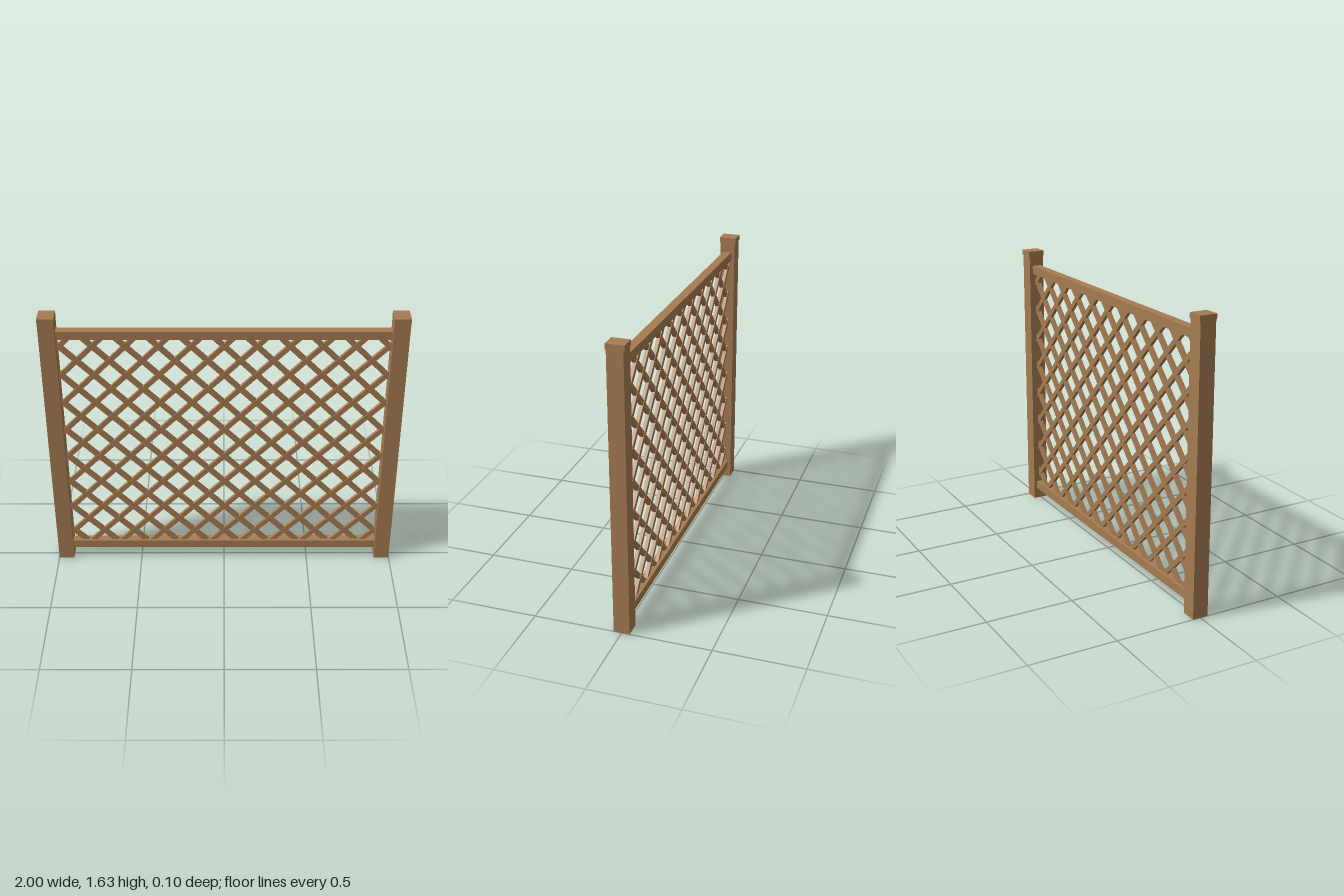
import * as THREE from 'three';

export function createModel() {
  const model = new THREE.Group();
  model.name = 'trellisPanel';
  const wood = new THREE.MeshStandardMaterial({ color: 0xa67c52 });
  wood.name = 'brown wood';

  function addBox(parent, name, size, position) {
    const mesh = new THREE.Mesh(new THREE.BoxGeometry(...size), wood);
    mesh.name = name;
    mesh.position.set(...position);
    parent.add(mesh);
    return mesh;
  }

  // Posts with flat caps
  for (const [side, s] of [['left', 1], ['right', -1]]) {
    addBox(model, side + 'Post', [0.09, 1.6, 0.09], [s * 0.955, 0.8, 0]);
    addBox(model, side + 'PostCap', [0.09, 0.03, 0.1], [s * 0.955, 1.615, 0]);
  }

  // Rails
  addBox(model, 'bottomRail', [1.82, 0.05, 0.052], [0, 0.09, 0]);
  addBox(model, 'topRail', [1.82, 0.05, 0.052], [0, 1.516, 0]);

  // Two interlocking sets of diagonal slats, trimmed so their ends sit inside the frame
  const halfWidth = 0.925, bottom = 0.1, top = 1.51;
  const slatWidth = 0.028, slatDepth = 0.02, spacing = 0.18;
  for (const [name, slope] of [['risingSlats', 1], ['fallingSlats', -1]]) {
    const layer = new THREE.Group();
    layer.name = name;
    layer.position.z = slope * 0.001; // keeps crossing faces apart
    for (let k = -9; k <= 8; k++) {
      const c = 0.9 + k * spacing; // height of the slat's line at x = 0
      const x0 = Math.max(-halfWidth, bottom - c);
      const x1 = Math.min(halfWidth, top - c);
      const mid = (x0 + x1) / 2;
      const slat = addBox(layer, 'slat', [(x1 - x0) * Math.SQRT2, slatWidth, slatDepth],
        [slope * mid, mid + c, 0]);
      slat.rotation.z = slope * Math.PI / 4;
    }
    model.add(layer);
  }
  return model;
}
